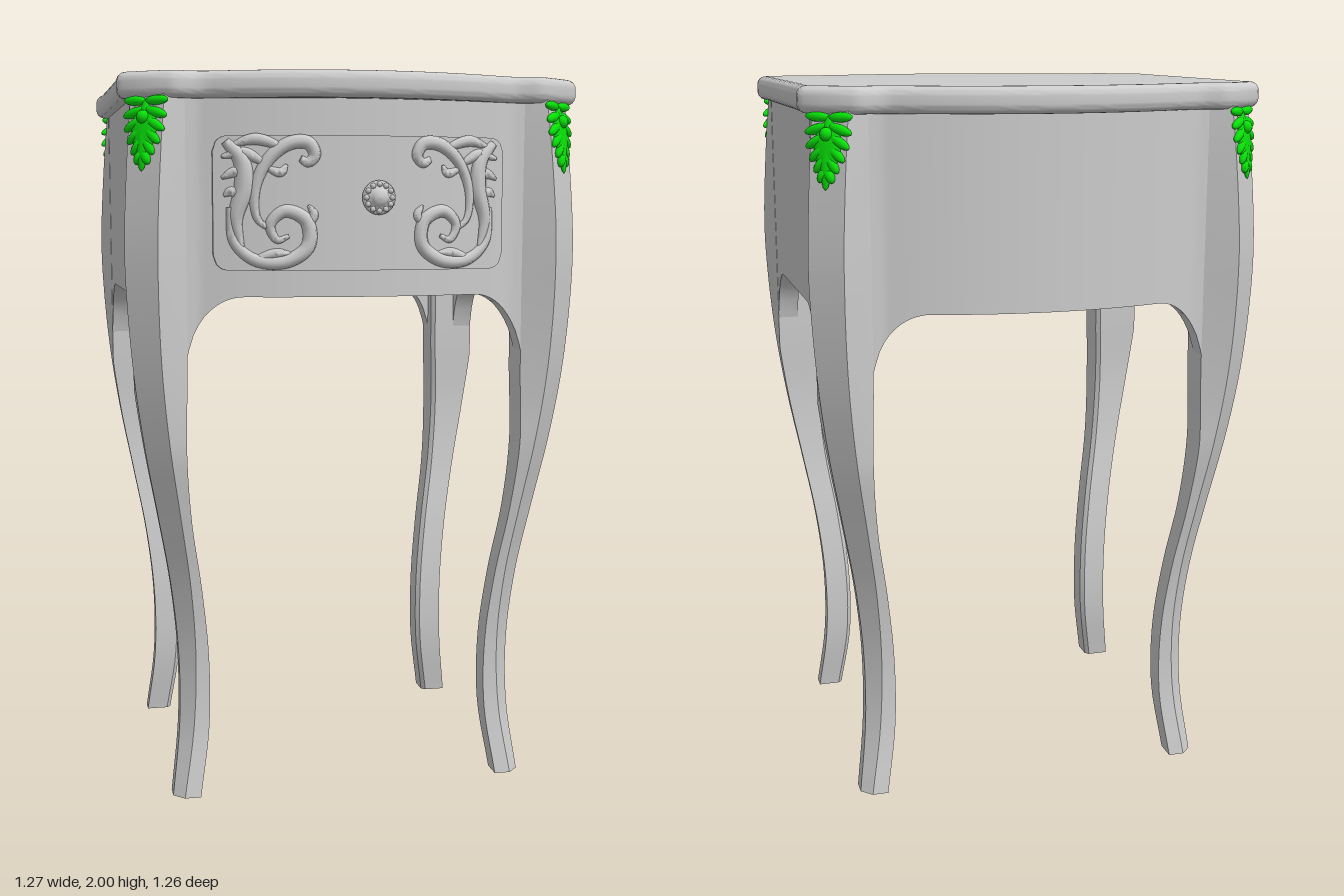
import * as THREE from 'three';
import { mergeGeometries, toCreasedNormals } from 'three/addons/utils/BufferGeometryUtils.js';

const grey = new THREE.MeshStandardMaterial({ color: 0xcccccc });
const green = new THREE.MeshStandardMaterial({ color: 0x08e008 });

function addMesh(parent, name, geometry, material = grey) {
  const mesh = new THREE.Mesh(geometry, material);
  mesh.name = name;
  parent.add(mesh);
  return mesh;
}

// Skin a list of rings (counter-clockwise about the direction of travel) and cap both ends
function loft(rings, crease) {
  const n = rings[0].length, last = (rings.length - 1) * n, index = [];
  for (let i = 0; i < rings.length - 1; i++) {
    for (let k = 0; k < n; k++) {
      const a = i * n + k, b = i * n + (k + 1) % n;
      index.push(a, b, b + n, a, b + n, a + n);
    }
  }
  for (let k = 1; k < n - 1; k++) {
    index.push(0, k + 1, k, last, last + k, last + k + 1);
  }
  const geo = new THREE.BufferGeometry().setFromPoints(rings.flat());
  geo.setIndex(index);
  return toCreasedNormals(geo, crease);
}

// Bent board facing +z: lower edge, upper edge and face depth are functions of x
function bentPanel(width, thick, bottom, top, depth, segments) {
  const geo = new THREE.BoxGeometry(width, 1, thick, segments, 6, 1);
  const p = geo.attributes.position;
  for (let i = 0; i < p.count; i++) {
    const x = p.getX(i);
    p.setY(i, THREE.MathUtils.lerp(bottom(x), top(x), p.getY(i) + 0.5));
    p.setZ(i, p.getZ(i) - thick / 2 + depth(x));
  }
  geo.computeVertexNormals();
  return geo;
}

// Serpentine face of the front and back
const bow = x => Math.max(0.495, 0.58 - 0.46 * x * x);

// Lower apron edge: flat, then an elliptical sweep down into the leg
const arch = end => x => {
  const t = THREE.MathUtils.clamp((Math.abs(x) - end + 0.15) / 0.15, 0, 1);
  return 1.415 - 0.2 * (1 - Math.sqrt(1 - t * t));
};

// Plan of the top board, mirrored in both directions
function topOutline(scale) {
  const quarter = [];
  for (let i = 0; i <= 12; i++) {
    const x = 0.39 * i / 12;
    quarter.push([x, 0.632 - 0.62 * x * x]);
  }
  quarter.push([0.41, 0.527], [0.43, 0.522], [0.45, 0.524], [0.475, 0.532], [0.495, 0.536], [0.515, 0.53],
    [0.57, 0.492], [0.622, 0.452], [0.634, 0.435], [0.635, 0.415], [0.63, 0.37], [0.629, 0.2]);
  const half = [...quarter, ...quarter.map(([x, z]) => [x, -z]).reverse()];
  const all = [...half, ...half.map(([x, z]) => [-x, z]).reverse()]
    .filter(([x, z], i, list) => !i || Math.hypot(x - list[i - 1][0], z - list[i - 1][1]) > 1e-6);
  all.pop();
  return new THREE.Shape(all.map(([x, z]) => new THREE.Vector2(x * scale, z * scale)));
}

function topBoard() {
  const geo = new THREE.ExtrudeGeometry(topOutline(1), {
    depth: 0.02, bevelThickness: 0.025, bevelSize: 0.025, bevelOffset: -0.025, bevelSegments: 6,
  });
  geo.rotateX(-Math.PI / 2).translate(0, 1.955, 0);
  return toCreasedNormals(geo, 0.6);
}

// Cabriole leg: [outer x, height, inner x]; z runs 0.08 behind x
const legCurve = new THREE.CatmullRomCurve3([
  [0.51, 0, 0.435], [0.486, 0.2, 0.406], [0.485, 0.4, 0.405], [0.505, 0.6, 0.425], [0.54, 0.8, 0.455],
  [0.577, 1, 0.47], [0.605, 1.2, 0.466], [0.621, 1.4, 0.465], [0.625, 1.55, 0.465], [0.612, 1.8, 0.465],
  [0.6, 1.94, 0.465],
].map(p => new THREE.Vector3(...p)));

function leg(sx, sz) {
  const rings = legCurve.getPoints(50).map(({ x: X, y, z: xi }) => {
    const Z = X - 0.08, zi = xi - 0.08, c = 0.03 + 0.05 * Math.min(1, y / 1.5);
    const ring = [[Math.min(X, 0.6), zi], [xi + 0.012, zi], [xi, zi + 0.012], [xi, Math.min(Z, 0.495)],
      [X - c, Z], [X, Z - c]].map(([x, z]) => new THREE.Vector3(sx * x, y, sz * z));
    return sx * sz < 0 ? ring.reverse() : ring;
  });
  return loft(rings, 0.55);
}

// Tapered half-round carving that follows a path on the bowed drawer face
function carving(points, radius, side) {
  const curve = new THREE.CatmullRomCurve3(points.map(([x, y]) => new THREE.Vector3(side * x, y, 0)));
  const steps = points.length * 6, rings = [];
  for (let i = 0; i <= steps; i++) {
    const t = i / steps, p = curve.getPoint(t), d = curve.getTangent(t);
    const r = radius * (0.25 + 0.75 * Math.sin(Math.PI * Math.min(1, 0.1 + 0.88 * t)));
    const ring = [];
    for (let k = 0; k < 8; k++) {
      const a = k * Math.PI / 4, across = r * Math.cos(a);
      const x = p.x - d.y * across;
      ring.push(new THREE.Vector3(x, p.y + d.x * across, bow(x) + 0.012 + r * 0.9 * Math.sin(a)));
    }
    rings.push(ring);
  }
  return loft(rings, 1.2);
}

function scrollwork(side) {
  const strokes = [
    // upper curl and stem
    [0.018, [[0.175, 1.775], [0.155, 1.765], [0.138, 1.785], [0.155, 1.815], [0.2, 1.815], [0.255, 1.775],
      [0.29, 1.7], [0.285, 1.62], [0.25, 1.59]]],
    // lower spiral
    [0.019, [[0.355, 1.65], [0.345, 1.56], [0.29, 1.512], [0.21, 1.51], [0.155, 1.55], [0.16, 1.615],
      [0.215, 1.64], [0.253, 1.605], [0.235, 1.565], [0.205, 1.575]]],
    // outer leaf
    [0.024, [[0.365, 1.82], [0.325, 1.77], [0.32, 1.7], [0.34, 1.62], [0.325, 1.54]]],
    // leaf lobes
    [0.015, [[0.22, 1.805], [0.29, 1.825], [0.35, 1.81]]],
    [0.015, [[0.27, 1.765], [0.32, 1.79], [0.375, 1.78]]],
    [0.014, [[0.3, 1.72], [0.34, 1.74], [0.375, 1.725]]],
    [0.013, [[0.31, 1.66], [0.35, 1.69], [0.37, 1.68]]],
    [0.013, [[0.3, 1.51], [0.24, 1.53], [0.2, 1.53]]],
    [0.012, [[0.16, 1.6], [0.14, 1.63], [0.155, 1.655]]],
    [0.012, [[0.26, 1.75], [0.225, 1.74], [0.21, 1.76]]],
  ];
  return mergeGeometries(strokes.map(([r, pts]) => carving(pts, r, side)));
}

function knob() {
  const profile = [[0.02, -0.01], [0.02, 0.006], [0.042, 0.008], [0.045, 0.015], [0.038, 0.022],
    [0.026, 0.022], [0.022, 0.032], [0.012, 0.038], [0, 0.04]].map(p => new THREE.Vector2(...p));
  const parts = [new THREE.LatheGeometry(profile, 32)];
  for (let i = 0; i < 12; i++) {
    const a = i * Math.PI / 6;
    parts.push(new THREE.SphereGeometry(0.008, 8, 6).translate(0.035 * Math.cos(a), 0.022, 0.035 * Math.sin(a)));
  }
  return mergeGeometries(parts).rotateX(Math.PI / 2);
}

// Hanging leaf mount: paired lobes on a central spine, facing +z
function leafMount() {
  const lobe = (x, y, angle, length, r) => new THREE.SphereGeometry(1, 12, 8)
    .scale(r, length / 2, 0.012).translate(0, -length / 2, 0).rotateZ(angle).translate(x, y, 0.004);
  const parts = [lobe(0, 0.095, 0, 0.19, 0.02), lobe(0, 0.08, 0, 0.13, 0.042),
    new THREE.SphereGeometry(0.018, 12, 8).translate(0, 0.045, 0.012)];
  const rows = [[0.088, 1.6, 0.072], [0.068, 1.3, 0.075], [0.045, 1.1, 0.075], [0.02, 0.9, 0.068],
    [-0.008, 0.7, 0.056], [-0.04, 0.55, 0.042]];
  for (const [y, angle, length] of rows) {
    for (const s of [-1, 1]) parts.push(lobe(0, y, s * angle, length, 0.013));
  }
  return mergeGeometries(parts);
}

export function createModel() {
  const table = new THREE.Group();
  table.name = 'bedsideTable';
  addMesh(table, 'topBoard', topBoard());

  // Aprons
  const top = () => 1.94;
  const bowed = () => bentPanel(0.95, 0.06, arch(0.468), top, bow, 72);
  const flat = () => bentPanel(0.79, 0.06, arch(0.388), top, () => 0.599, 60);
  addMesh(table, 'frontApron', bowed());
  addMesh(table, 'backApron', bowed().rotateY(Math.PI));
  addMesh(table, 'leftApron', flat().rotateY(Math.PI / 2));
  addMesh(table, 'rightApron', flat().rotateY(-Math.PI / 2));

  // Inner floor
  const floor = new THREE.ExtrudeGeometry(topOutline(0.9), { depth: 0.02, bevelEnabled: false });
  addMesh(table, 'innerFloor', floor.rotateX(-Math.PI / 2).translate(0, 1.5, 0));

  // Drawer with rounded corners
  const corner = x => {
    const d = Math.max(0, Math.abs(x) - 0.357);
    return 0.04 - Math.sqrt(Math.max(0, 0.0016 - d * d));
  };
  addMesh(table, 'drawerFront',
    bentPanel(0.794, 0.03, x => 1.485 + corner(x), x => 1.835 - corner(x), x => bow(x) + 0.01, 100));
  addMesh(table, 'drawerKnob', knob()).position.set(0.03, 1.675, 0.585);

  for (const sx of [-1, 1]) {
    addMesh(table, sx > 0 ? 'leftScrollwork' : 'rightScrollwork', scrollwork(sx));
    for (const sz of [-1, 1]) {
      const place = (sz > 0 ? 'front' : 'back') + (sx > 0 ? 'Left' : 'Right');
      addMesh(table, place + 'Leg', leg(sx, sz));
      const mount = addMesh(table, place + 'LeafMount', leafMount(), green);
      mount.position.set(sx * 0.569, 1.835, sz * 0.489);
      mount.rotation.set(-0.13, Math.atan2(sx, sz), 0, 'YXZ');
    }
  }
  return table;
}
